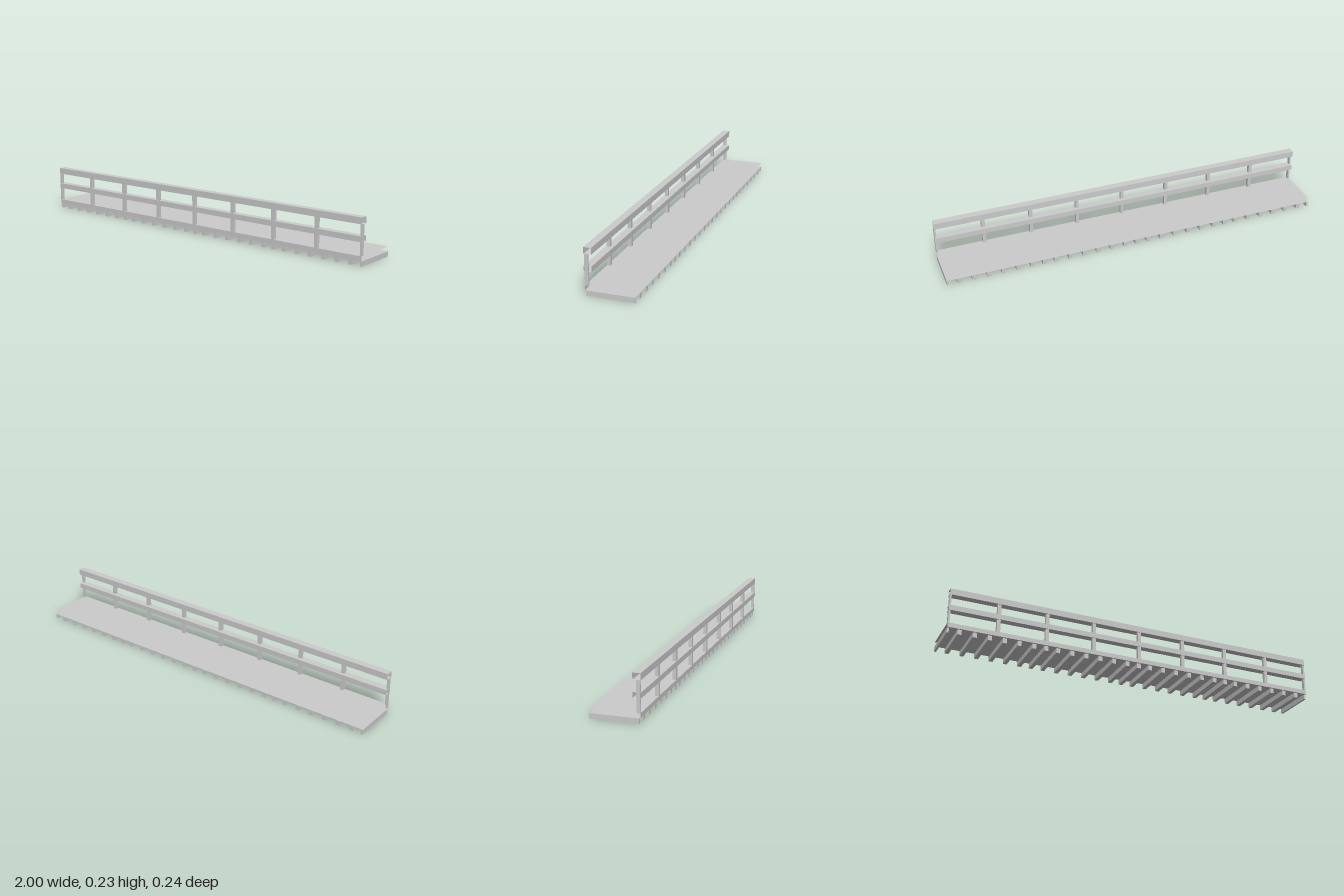
import * as THREE from 'three';

const material = new THREE.MeshStandardMaterial({ color: 0xcccccc, flatShading: true, side: THREE.DoubleSide });

// Box given by its lower and upper corners, optionally leaving out some faces
// (face order: +x, -x, +y, -y, +z, -z).
function block(name, [x0, y0, z0], [x1, y1, z1], openFaces = []) {
  const geometry = new THREE.BoxGeometry(x1 - x0, y1 - y0, z1 - z0);
  const index = Array.from(geometry.index.array);
  geometry.setIndex(index.filter((_, i) => !openFaces.includes(Math.floor(i / 6))));
  geometry.clearGroups();
  geometry.translate((x0 + x1) / 2, (y0 + y1) / 2, (z0 + z1) / 2);
  const mesh = new THREE.Mesh(geometry, material);
  mesh.name = name;
  return mesh;
}

// Upright or crosswise member centred on x, trimmed at the ends of the walkway
function member(name, x, width, y0, y1, z0, z1) {
  const left = Math.max(-1, x - width / 2);
  const right = Math.min(1, x + width / 2);
  return block(name, [left, y0, z0], [right, y1, z1]);
}

export function createModel() {
  const model = new THREE.Group();
  model.name = 'walkway';

  // Hollow deck, open at both ends and along the back edge
  model.add(block('deck', [-1, 0.027, -0.123], [1, 0.05, 0.117], [0, 1, 5]));

  // Open-ended handrail and middle rail
  model.add(block('topRail', [-1, 0.2, 0.082], [1, 0.232, 0.12], [0, 1]));
  model.add(block('middleRail', [-1, 0.117, 0.082], [1, 0.144, 0.12], [0, 1]));

  // Railing posts
  const posts = new THREE.Group();
  posts.name = 'posts';
  for (let i = 0; i <= 8; i++) {
    posts.add(member('post', -1 + i * 0.25, 0.018, 0.05, 0.2, 0.099, 0.117));
  }
  model.add(posts);

  // Joists: one at each bay boundary and six within each bay
  const joists = new THREE.Group();
  joists.name = 'joists';
  const addJoist = (x) => joists.add(member('joist', x, 0.02, 0, 0.026, -0.123, 0.111));
  for (let bay = 0; bay < 4; bay++) {
    const start = -1 + bay * 0.5;
    addJoist(start);
    for (let i = 0; i < 6; i++) addJoist(start + 0.0625 + i * 0.075);
  }
  addJoist(1);
  model.add(joists);

  return model;
}
